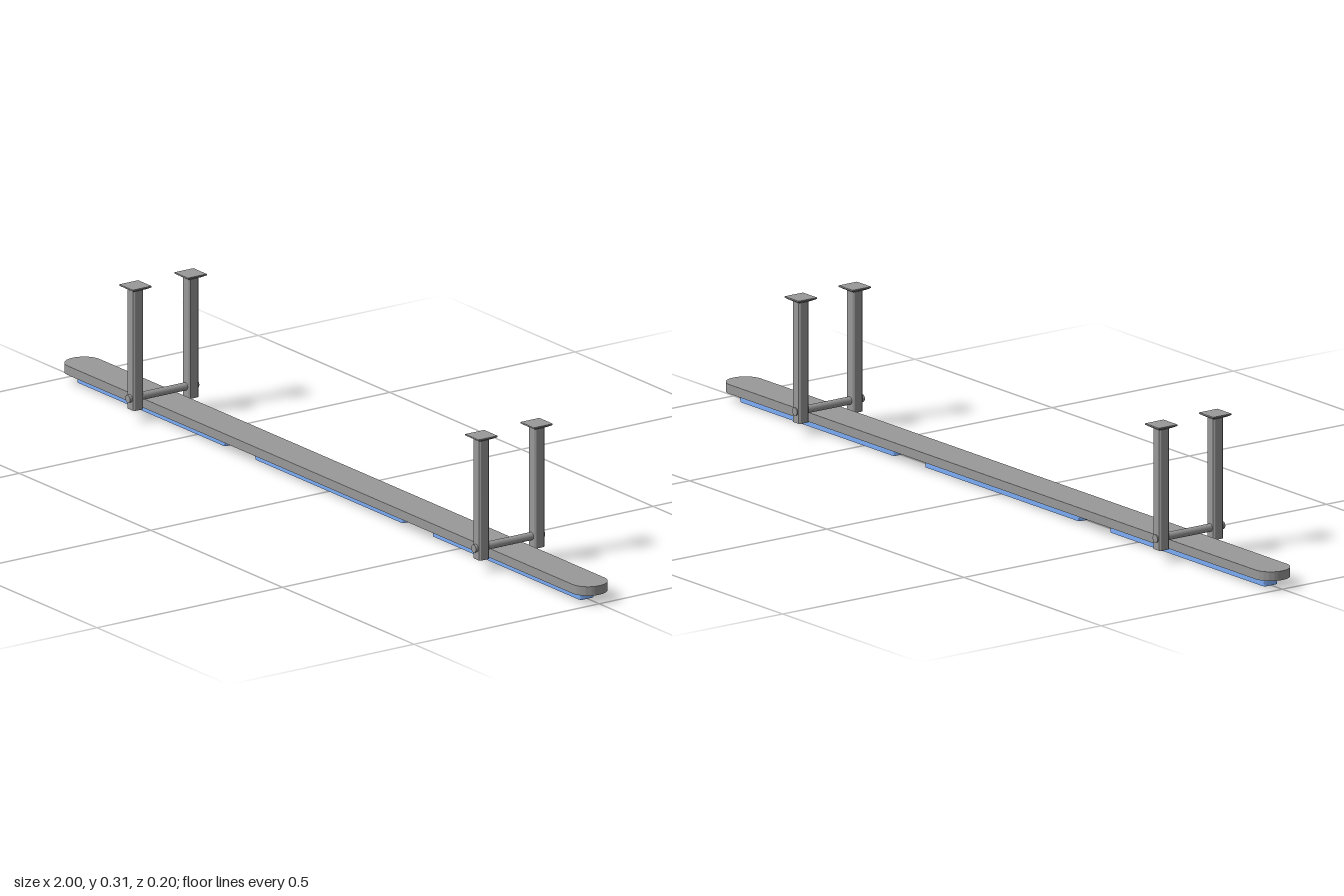
import * as THREE from 'three';
import { toCreasedNormals } from 'three/addons/utils/BufferGeometryUtils.js';

const grey = new THREE.MeshStandardMaterial({ color: 0x999999 });
const blue = new THREE.MeshStandardMaterial({ color: 0x80b2ff });

function add(parent, name, geometry, material, x = 0, y = 0, z = 0) {
  const mesh = new THREE.Mesh(geometry, material);
  mesh.name = name;
  mesh.position.set(x, y, z);
  parent.add(mesh);
  return mesh;
}

// Upright slab with rounded corners in plan, standing on y = 0; taper narrows its underside
function roundedSlab(length, width, height, r, taper = 1) {
  const h = length / 2 - r, w = width / 2 - r, q = Math.PI / 2;
  const shape = new THREE.Shape();
  shape.absarc(h, -w, r, -q, 0, false);
  shape.absarc(h, w, r, 0, q, false);
  shape.absarc(-h, w, r, q, 2 * q, false);
  shape.absarc(-h, -w, r, 2 * q, 3 * q, false);
  shape.closePath();
  const g = new THREE.ExtrudeGeometry(shape, { depth: height, bevelEnabled: false, curveSegments: 8 });
  g.rotateX(-q);
  const p = g.attributes.position;
  for (let i = 0; i < p.count; i++) {
    if (p.getY(i) < height / 2) p.setZ(i, p.getZ(i) * taper);
  }
  return toCreasedNormals(g, 0.6);
}

// Sloped square collar below a ceiling plate, top at y = 0
function collarGeometry() {
  const g = new THREE.CylinderGeometry(0.051 / Math.SQRT2, 0.034 / Math.SQRT2, 0.005, 4);
  g.rotateY(Math.PI / 4);
  g.translate(0, -0.0025, 0);
  return toCreasedNormals(g, 0.3);
}

export function createModel() {
  const model = new THREE.Group();
  model.name = 'hangingBarLamp';

  // Long housing bar with round ends
  add(model, 'housingBar', roundedSlab(2, 0.086, 0.021, 0.042), grey, 0, 0.021, 0);

  // Three light strips below the bar
  for (const x of [-0.677, -0.002, 0.673]) {
    add(model, 'lightStrip', roundedSlab(0.565, 0.041, 0.0212, 0.008, 0.94), blue, x, 0, 0);
  }

  // Two hangers, each with two posts joined by a cross rod
  for (const x of [-0.657, 0.657]) {
    const hanger = new THREE.Group();
    hanger.name = 'hanger';
    hanger.position.x = x;
    model.add(hanger);

    const rod = add(hanger, 'crossRod', new THREE.CylinderGeometry(0.009, 0.009, 0.187, 20), grey, 0, 0.055, 0.002);
    rod.rotation.x = Math.PI / 2;

    for (const z of [-0.0745, 0.0745]) {
      add(hanger, 'post', roundedSlab(0.0284, 0.0284, 0.28, 0.007), grey, 0, 0.029, z);
      add(hanger, 'ceilingPlate', new THREE.BoxGeometry(0.051, 0.003, 0.051), grey, 0, 0.3125, z);
      add(hanger, 'plateCollar', collarGeometry(), grey, 0, 0.311, z);
    }
  }
  return model;
}
